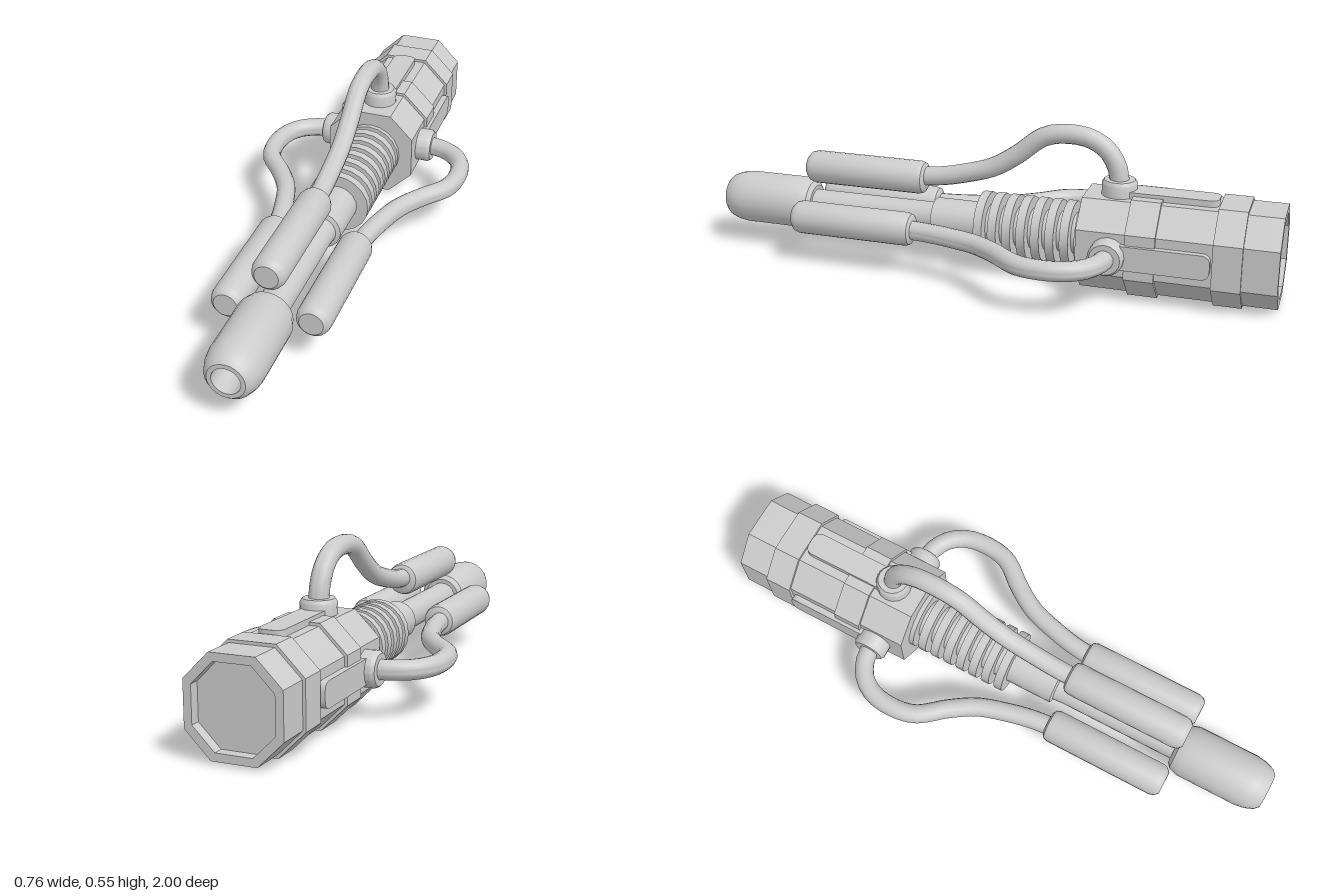
import * as THREE from 'three';
import { toCreasedNormals } from 'three/addons/utils/BufferGeometryUtils.js';

const mat = new THREE.MeshStandardMaterial({ color: 0xcccccc });
const AXIS_Y = 0.168;

function add(parent, name, geo) {
  const mesh = new THREE.Mesh(toCreasedNormals(geo, 0.6), mat);
  mesh.name = name;
  parent.add(mesh);
  return mesh;
}

// Turned part along +z; profile is [radius, z] from back to front
function turned(profile, sides = 20) {
  const pts = profile.map(([r, z]) => new THREE.Vector2(r, z));
  return new THREE.LatheGeometry(pts, sides).rotateX(Math.PI / 2);
}

function octagon(a, b, Type = THREE.Shape) {
  const c = [[b, -a], [a, -b], [a, b], [b, a], [-b, a], [-a, b], [-a, -b], [-b, -a]];
  return new Type(c.map(([x, y]) => new THREE.Vector2(x, y)));
}

function extrude(shape, from, to) {
  return new THREE.ExtrudeGeometry(shape, { depth: to - from, bevelEnabled: false }).translate(0, 0, from);
}

export function createModel() {
  const root = new THREE.Group();
  root.name = 'blaster';
  const body = new THREE.Group();
  body.name = 'body';
  body.position.y = AXIS_Y;
  root.add(body);

  // Octagonal housing with two raised bands and a recessed rear end
  add(body, 'housing', extrude(octagon(0.158, 0.074), -0.965, -0.34));
  const rim = octagon(0.158, 0.074);
  rim.holes.push(octagon(0.132, 0.06, THREE.Path));
  add(body, 'rearRim', extrude(rim, -1, -0.965));
  for (const [from, to] of [[-0.605, -0.505], [-0.885, -0.79]]) {
    add(body, 'housingBand', extrude(octagon(0.168, 0.078), from, to));
  }

  // Core barrel, sleeve and cooling fins
  add(body, 'coreBarrel', turned([[0, -0.36], [0.07, -0.36], [0.07, 0.2], [0.055, 0.205], [0.052, 0.24], [0.052, 0.7], [0, 0.7]]));
  for (let i = 0; i < 8; i++) {
    const z = 0.03 - i * 0.0505;
    add(body, 'coolingFin', turned([[0.06, z - 0.03], [0.111, z - 0.03], [0.111, z], [0.06, z]]));
  }

  // Hollow rounded muzzle
  add(body, 'muzzle', turned([
    [0.045, 0.66], [0.066, 0.66], [0.082, 0.672], [0.093, 0.705], [0.093, 0.92],
    [0.088, 0.955], [0.077, 0.985], [0.062, 1], [0.047, 1], [0.047, 0.85], [0, 0.85],
  ], 24));

  // Feed assemblies: one on top and one on each side
  const path = new THREE.CatmullRomCurve3([
    [-0.45, 0.18], [-0.443, 0.24], [-0.41, 0.3], [-0.355, 0.337], [-0.28, 0.349], [-0.19, 0.333],
    [-0.095, 0.26], [-0.01, 0.207], [0.09, 0.175], [0.18, 0.155], [0.27, 0.146],
  ].map(([z, d]) => new THREE.Vector3(0, d, z)));

  [['top', 0], ['left', -Math.PI / 2], ['right', Math.PI / 2]].forEach(([side, angle]) => {
    const feed = new THREE.Group();
    feed.name = side + 'Feed';
    feed.rotation.z = angle;
    body.add(feed);

    add(feed, 'feedPipe', new THREE.TubeGeometry(path, 28, 0.033, 14));
    add(feed, 'sideBarrel', turned([
      [0, 0.235], [0.042, 0.235], [0.053, 0.242], [0.058, 0.258], [0.058, 0.65],
      [0.053, 0.668], [0.04, 0.68], [0, 0.68],
    ])).position.y = 0.142;

    // Collar where the pipe enters the housing
    const collar = [[0.06, 0.14], [0.06, 0.198], [0.052, 0.21], [0, 0.21]];
    add(feed, 'pipeCollar', new THREE.LatheGeometry(collar.map(p => new THREE.Vector2(...p)), 16))
      .position.z = -0.45;

    // Raised strip with a rounded rear end
    const w = 0.042, r = 0.03;
    const strip = new THREE.Shape();
    strip.moveTo(-w, 0.45);
    strip.lineTo(w, 0.45);
    strip.lineTo(w, 0.785 - r);
    strip.quadraticCurveTo(w, 0.785, w - r, 0.785);
    strip.lineTo(r - w, 0.785);
    strip.quadraticCurveTo(-w, 0.785, -w, 0.785 - r);
    add(feed, 'raisedStrip', new THREE.ExtrudeGeometry(strip, { depth: 0.04, bevelEnabled: false, curveSegments: 5 })
      .rotateX(-Math.PI / 2)).position.y = 0.14;
  });

  return root;
}
